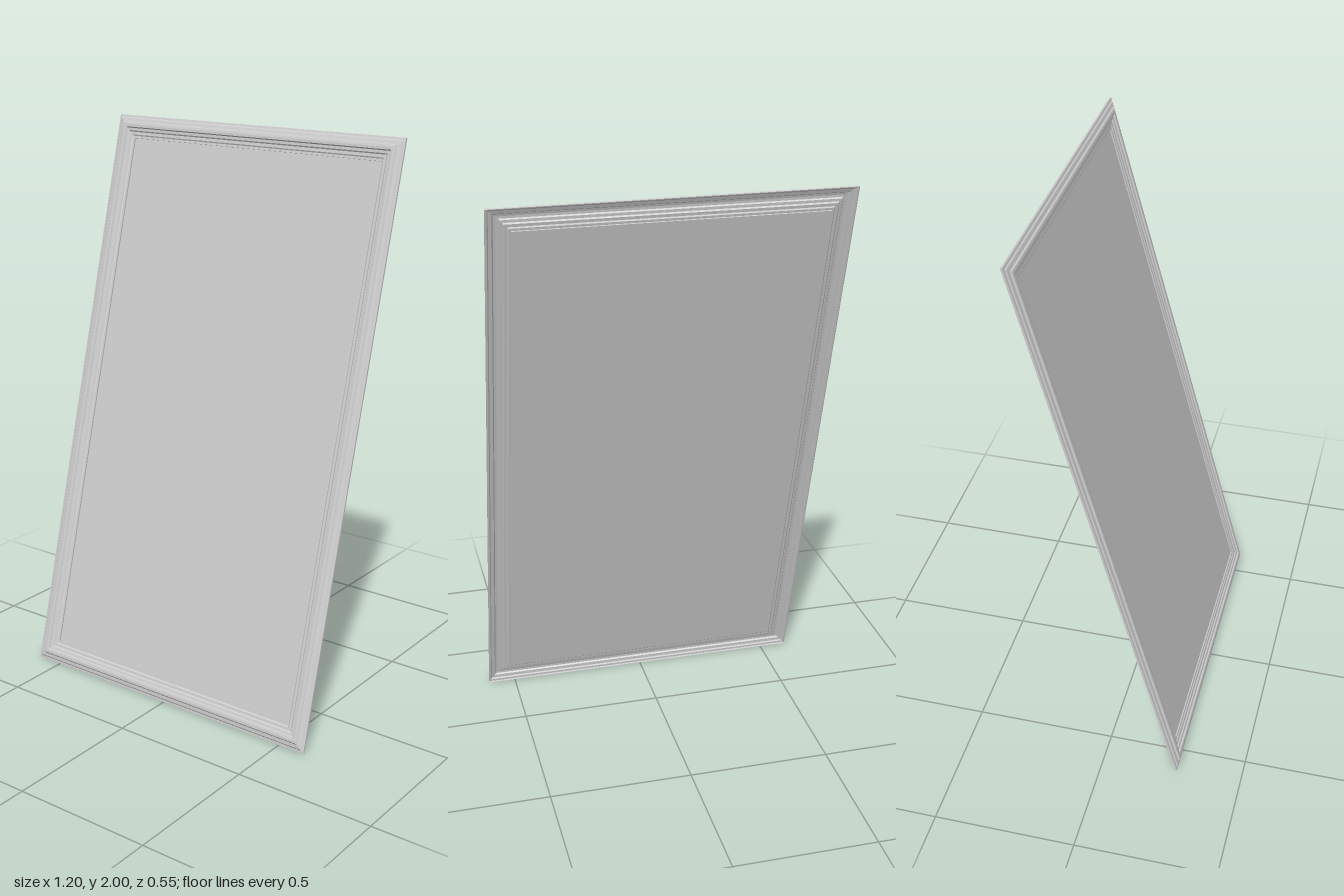
import * as THREE from 'three';

const WIDTH = 1.2, LENGTH = 2.069, TILT = THREE.MathUtils.degToRad(15);

// Moulding section: [inset from the outer edge, height above the back plane]
const MOULDING = [
  [0, 0], [0, 0.007], [0.008, 0.008], [0.012, 0.012], [0.024, 0.014], [0.028, 0.019],
  [0.036, 0.02], [0.044, 0.019], [0.047, 0.014], [0.056, 0.013], [0.06, 0.009],
  [0.07, 0.009], [0.074, 0.006], [0.082, 0.006], [0.082, 0.001],
];

// Corner k of the rectangle, counter-clockwise from bottom left, at a section point
function corner(k, [inset, height]) {
  const sx = k === 1 || k === 2 ? 1 : -1;
  const y = k >= 2 ? LENGTH - inset : inset;
  return [sx * (WIDTH / 2 - inset), y, height];
}

// Sweep the section round the rectangle with mitred corners
function mitredFrame(section) {
  const positions = [];
  for (let k = 0; k < 4; k++) {
    const next = (k + 1) % 4;
    for (let i = 0; i < section.length - 1; i++) {
      const a = corner(k, section[i]), b = corner(next, section[i]);
      const c = corner(next, section[i + 1]), d = corner(k, section[i + 1]);
      positions.push(...a, ...b, ...c, ...a, ...c, ...d);
    }
  }
  const geometry = new THREE.BufferGeometry();
  geometry.setAttribute('position', new THREE.Float32BufferAttribute(positions, 3));
  geometry.computeVertexNormals();
  return geometry;
}

export function createModel() {
  const material = new THREE.MeshStandardMaterial({
    color: 0xcccccc, flatShading: true, side: THREE.DoubleSide,
  });
  const model = new THREE.Group();
  model.name = 'leaningMirror';

  // Everything is built upright, then leaned back
  const leaning = new THREE.Group();
  leaning.name = 'framedMirror';
  leaning.rotation.x = -TILT;
  leaning.position.z = 0.2625;
  model.add(leaning);

  // Stepped moulding, open at the back
  const frame = new THREE.Mesh(mitredFrame(MOULDING), material);
  frame.name = 'frame';
  leaning.add(frame);

  // Mirror pane
  const [inset, height] = MOULDING[MOULDING.length - 1];
  const pane = new THREE.Mesh(
    new THREE.PlaneGeometry(WIDTH - 2 * inset, LENGTH - 2 * inset), material);
  pane.name = 'mirrorPane';
  pane.position.set(0, LENGTH / 2, height);
  leaning.add(pane);

  return model;
}
